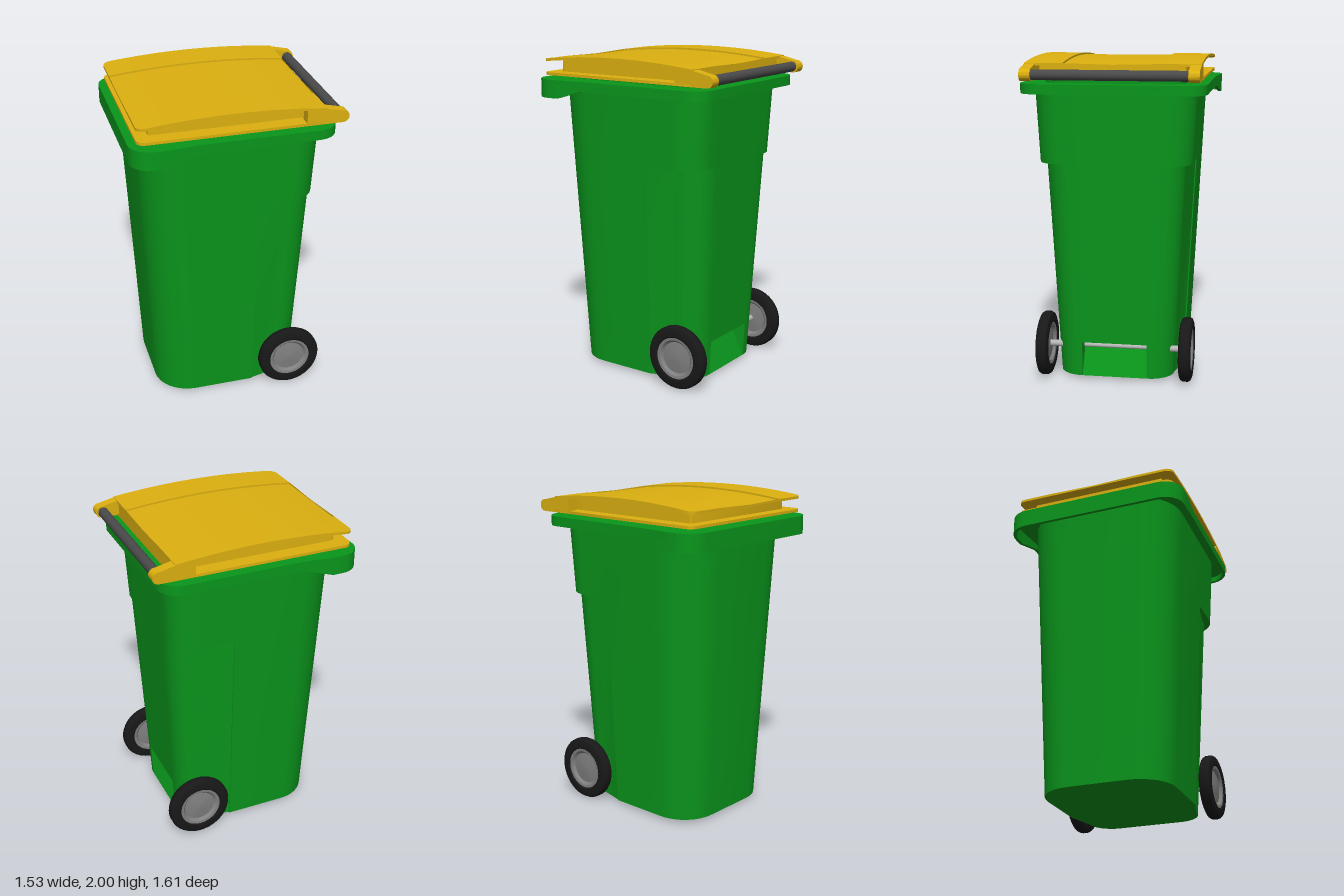
import * as THREE from 'three';
import { toCreasedNormals } from 'three/addons/utils/BufferGeometryUtils.js';

const mat = (color) => new THREE.MeshStandardMaterial({ color, side: THREE.DoubleSide });
const green = mat(0x0a961c), yellow = mat(0xdcb010), rubber = mat(0x181818);
const hubGrey = mat(0x808080), gripGrey = mat(0x4a4a4a), steel = mat(0xb4b4b4);

function add(parent, name, geometry, material) {
  const mesh = new THREE.Mesh(geometry, material);
  mesh.name = name;
  parent.add(mesh);
  return mesh;
}

// Closed skin through loops of equal length, capped at both ends
function loft(loops, crease = 0.5) {
  const pos = [];
  const tri = (...pts) => pts.forEach((p) => pos.push(...p));
  const n = loops[0].length;
  for (let i = 0; i < loops.length - 1; i++) {
    for (let j = 0; j < n; j++) {
      const k = (j + 1) % n, a = loops[i], b = loops[i + 1];
      tri(a[j], a[k], b[k]);
      tri(a[j], b[k], b[j]);
    }
  }
  const cap = (loop, flip) => {
    const c = [0, 1, 2].map((q) => loop.reduce((s, p) => s + p[q], 0) / n);
    for (let j = 0; j < n; j++) {
      const k = (j + 1) % n;
      flip ? tri(c, loop[k], loop[j]) : tri(c, loop[j], loop[k]);
    }
  };
  cap(loops[0], true);
  cap(loops[loops.length - 1], false);
  const g = new THREE.BufferGeometry();
  g.setAttribute('position', new THREE.Float32BufferAttribute(pos, 3));
  return toCreasedNormals(g, crease);
}

// Rounded plan outline: half width a, front f, back b, corner radii r and rb.
// side lists [width change, z] along the flank, front to back; back lists extra
// [x, z] points along the rear edge; y may depend on z.
function section(y, a, f, b, r, { side = [], rb = r, back = [] } = {}) {
  const half = [], N = 8;
  const aBack = a + (side.length ? side[side.length - 1][0] : 0);
  for (let i = 0; i <= N; i++) {
    const t = (i / N) * Math.PI / 2;
    half.push([a - r + r * Math.sin(t), f - r + r * Math.cos(t)]);
  }
  side.forEach(([d, z]) => half.push([a + d, z]));
  for (let i = 0; i <= N; i++) {
    const t = (i / N) * Math.PI / 2;
    half.push([aBack - rb + rb * Math.cos(t), -b + rb - rb * Math.sin(t)]);
  }
  half.push(...back);
  const all = [...half, ...half.map(([x, z]) => [-x, z]).reverse()];
  return all.map(([x, z]) => [x, typeof y === 'function' ? y(z) : y, z]);
}

// Tapered tub, its flanks drawn in towards the back, with an axle notch behind
function bodyGeometry() {
  const ring = (y, inset, notch = 0) => {
    const t = (y - 0.02) / 1.77;
    const b = 0.423 + 0.09 * t, rb = 0.15 + 0.02 * t;
    return section(y, 0.402 + 0.088 * t, 0.486 + 0.087 * t, b, 0.22 + 0.04 * t, {
      rb,
      side: [[0, -0.115], [-inset * 0.15, -0.116], [-inset, rb - b + 0.01]],
      back: [[0.203, -b], [0.2, notch - b]],
    });
  };
  return loft([
    ring(0.02, 0.043), ring(0.24, 0.043, 0.12), ring(0.24, 0.043),
    ring(1.365, 0.043), ring(1.365, 0), ring(1.84, 0),
  ]);
}

// Rim with a hanging skirt, deeper and wider around the front
function rimGeometry() {
  const skirtY = (z) => 1.737 + 0.053 * THREE.MathUtils.clamp((0.46 - z) / 0.18, 0, 1);
  const ring = (y, o) => section(y, 0.577 - o, 0.652 - o, 0.582 - o, 0.13 - o,
    { side: [[0, 0.46], [-0.019, 0.28]] });
  const inner = (y) => section(y, 0.425, 0.495, 0.475, 0.12, { side: [[0, 0.3], [0, 0.2]] });
  return loft([
    inner(1.825), ring(1.825, 0.02), ring(skirtY, 0.02), ring(skirtY, 0),
    ring(1.85, 0), inner(1.85), inner(1.875),
  ]);
}

// Arched height of the lid along its depth
const lidY = (z) => 2.0 - 0.105 * (z - 0.05) ** 2;

// Overhanging lid skin with a sunken centre panel
function lidTopGeometry() {
  const rows = [], r = 0.05, w = 0.525, front = 0.61;
  for (let i = 0; i < 14; i++) rows.push([-0.5 + ((front - r + 0.5) * i) / 14, w]);
  for (let i = 0; i <= 8; i++) {
    const t = (i / 8) * Math.PI / 2;
    rows.push([front - r + r * Math.sin(t), w - r + r * Math.cos(t)]);
  }
  const step = 0.011, thick = 0.016, m = 0.295;
  return loft(rows.map(([z, x]) => {
    const h = lidY(z), low = h - step, under = h - thick;
    return [[-x, under], [x, under], [x, h], [m, h], [m, low], [-m, low], [-m, h], [-x, h]]
      .map(([px, py]) => [px, py, z]);
  }));
}

function buildLid() {
  const lid = new THREE.Group();
  lid.name = 'lid';
  const flange = (y) => section(y, 0.525, 0.61, 0.5, 0.05, { rb: 0.01 });
  add(lid, 'lidFlange', loft([flange(1.87), flange(1.887)]), yellow);
  const side = [0.4, 0.25, 0.1, -0.05, -0.2, -0.35].map((z) => [0, z]);
  const box = (y) => section(y, 0.435, 0.53, 0.5, 0.01, { side });
  add(lid, 'lidBox', loft([box(1.887), box((z) => lidY(z) - 0.014)]), yellow);
  add(lid, 'lidTop', lidTopGeometry(), yellow);

  // Hinge arms holding the grip bar
  const s = new THREE.Shape();
  s.moveTo(-0.38, 1.87);
  s.lineTo(-0.38, 1.974);
  s.lineTo(-0.5, 1.964);
  s.lineTo(-0.598, 1.942);
  s.absarc(-0.6, 1.906, 0.036, Math.PI / 2, Math.PI * 1.5, false);
  const arm = new THREE.ExtrudeGeometry(s, { depth: 0.065, bevelEnabled: false, curveSegments: 12 });
  arm.rotateY(-Math.PI / 2);
  for (const x of [0.525, -0.46]) add(lid, 'hingeArm', toCreasedNormals(arm, 0.5), yellow).position.x = x;
  const grip = add(lid, 'gripBar', new THREE.CylinderGeometry(0.031, 0.031, 0.94, 24), gripGrey);
  grip.rotation.z = Math.PI / 2;
  grip.position.set(0, 1.906, -0.592);
  return lid;
}

function lathe(points) {
  const g = new THREE.LatheGeometry(points.map(([r, y]) => new THREE.Vector2(r, y)), 40);
  g.rotateZ(-Math.PI / 2);
  return toCreasedNormals(g, 0.6);
}

function buildWheel() {
  const wheel = new THREE.Group();
  wheel.name = 'wheel';
  add(wheel, 'tyre', lathe([
    [0.13, -0.03], [0.14, -0.037], [0.175, -0.037], [0.192, -0.03], [0.2, -0.016],
    [0.2, 0.016], [0.192, 0.03], [0.175, 0.037], [0.14, 0.037], [0.13, 0.03], [0.13, -0.03],
  ]), rubber);
  add(wheel, 'hub', lathe([
    [0, -0.024], [0.03, -0.022], [0.1, -0.014], [0.115, -0.03], [0.132, -0.032],
    [0.132, 0.032], [0.115, 0.03], [0.1, 0.014], [0.03, 0.022], [0, 0.024],
  ]), hubGrey);
  return wheel;
}

function buildWheels() {
  const set = new THREE.Group();
  set.name = 'wheelSet';
  set.position.set(0, 0.2, -0.35);
  for (const side of [1, -1]) {
    const wheel = buildWheel();
    wheel.position.x = 0.443 * side;
    set.add(wheel);
    const boss = add(set, 'axleBoss', new THREE.CylinderGeometry(0.02, 0.02, 0.09, 20), steel);
    boss.rotation.z = Math.PI / 2;
    boss.position.x = 0.385 * side;
  }
  const axle = add(set, 'axle', new THREE.CylinderGeometry(0.014, 0.014, 0.86, 20), steel);
  axle.rotation.z = Math.PI / 2;
  return set;
}

export function createModel() {
  const model = new THREE.Group();
  model.name = 'wheeledBin';
  const bin = new THREE.Group();
  bin.name = 'bin';
  // The bin stands turned on the spot
  bin.rotation.y = -0.487;
  model.add(bin);
  add(bin, 'body', bodyGeometry(), green);
  add(bin, 'rim', rimGeometry(), green);
  bin.add(buildLid(), buildWheels());
  return model;
}
